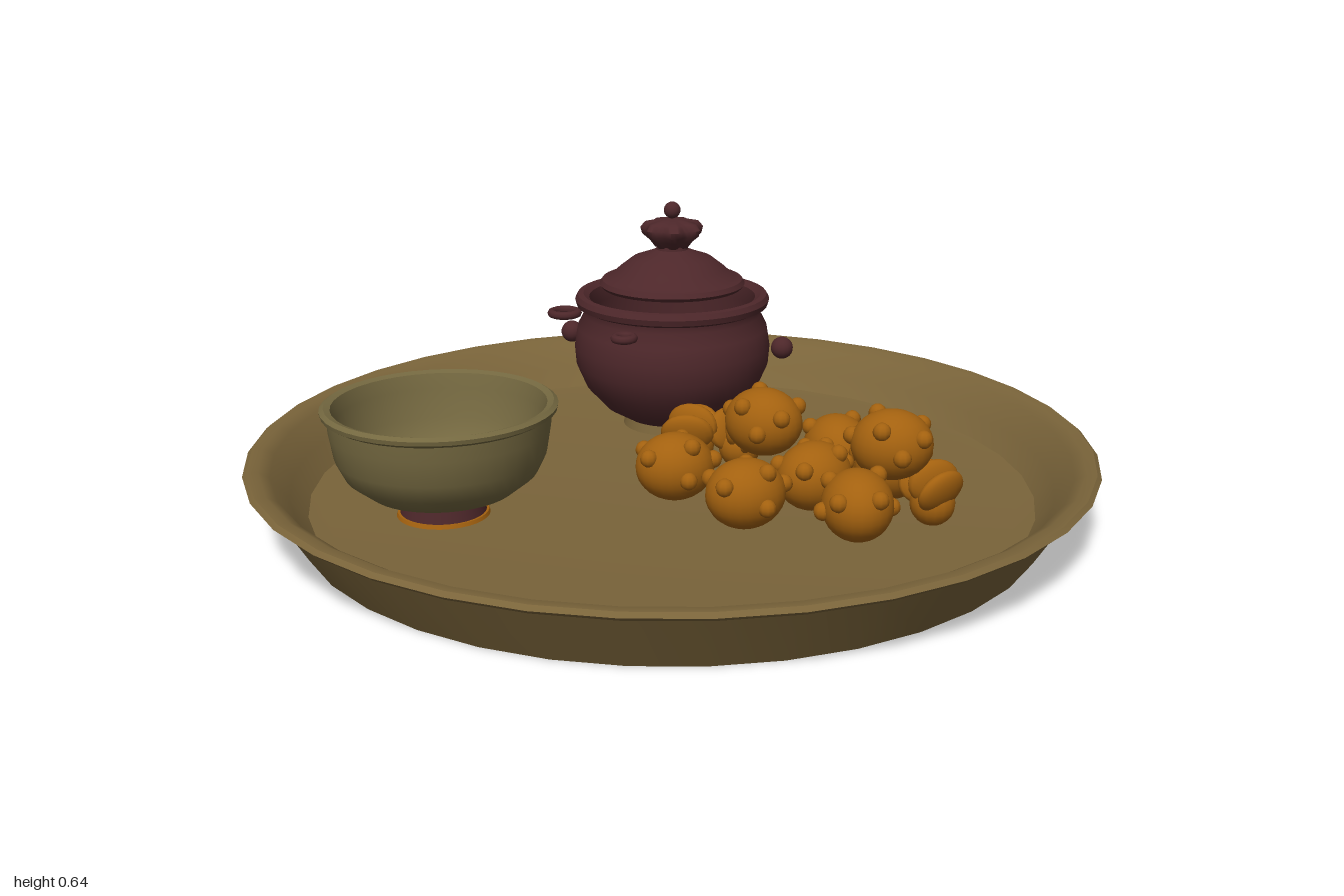
import * as THREE from 'three';
import { toCreasedNormals } from 'three/addons/utils/BufferGeometryUtils.js';

const material = (name, color) => {
  const m = new THREE.MeshStandardMaterial({ color });
  m.name = name;
  return m;
};

export function createModel() {
  const tan = material('tan clay', 0x7a643a);
  const olive = material('olive clay', 0x746840);
  const plum = material('plum glaze', 0x4d272a);
  const orange = material('orange fruit', 0xa3610f);

  const model = new THREE.Group();
  model.name = 'servingTray';

  const group = (name, x, y, z, parent = model) => {
    const g = new THREE.Group();
    g.name = name;
    g.position.set(x, y, z);
    parent.add(g);
    return g;
  };
  const add = (parent, name, geometry, mat, x = 0, y = 0, z = 0) => {
    const mesh = new THREE.Mesh(geometry, mat);
    mesh.name = name;
    mesh.position.set(x, y, z);
    parent.add(mesh);
    return mesh;
  };
  // Closed profile: out along the underside, up the outside, back down the inside
  const turned = (profile, segments = 40) => toCreasedNormals(
    new THREE.LatheGeometry(profile.map(([r, y]) => new THREE.Vector2(r, y)), segments), 0.7);

  // Tray with a flared wall and a rolled lip
  add(model, 'tray', turned([
    [0, 0], [0.88, 0], [0.965, 0.14], [0.99, 0.146], [1, 0.155], [0.99, 0.164],
    [0.965, 0.163], [0.94, 0.148], [0.9, 0.09], [0.86, 0.045], [0.82, 0.04], [0, 0.04],
  ], 36), tan);

  // Open bowl on a coloured foot
  const bowl = group('bowl', -0.54, 0, 0.13);
  add(bowl, 'bowlBody', turned([
    [0, 0.085], [0.1, 0.085], [0.17, 0.105], [0.22, 0.145], [0.242, 0.19], [0.252, 0.25],
    [0.255, 0.285], [0.268, 0.293], [0.27, 0.303], [0.26, 0.31], [0.245, 0.305],
    [0.235, 0.27], [0.222, 0.2], [0.195, 0.15], [0.15, 0.118], [0, 0.105],
  ]), olive);
  add(bowl, 'bowlFoot', new THREE.CylinderGeometry(0.09, 0.1, 0.05, 32), plum, 0, 0.07);
  add(bowl, 'bowlFootRing', new THREE.CylinderGeometry(0.105, 0.108, 0.009, 32), orange, 0, 0.044);

  // Round pot
  const pot = group('pot', 0.04, 0, -0.51);
  add(pot, 'potFoot', new THREE.CylinderGeometry(0.125, 0.137, 0.045, 32), tan, 0, 0.04);
  add(pot, 'potBody', turned([
    [0, 0.06], [0.12, 0.06], [0.18, 0.095], [0.23, 0.15], [0.256, 0.21], [0.26, 0.26],
    [0.252, 0.31], [0.234, 0.345], [0.236, 0.362], [0.253, 0.37], [0.257, 0.385],
    [0.25, 0.398], [0.235, 0.4], [0.22, 0.39], [0.215, 0.35], [0.235, 0.28],
    [0.22, 0.18], [0.15, 0.1], [0, 0.085],
  ]), plum);

  // Loop handles [x, z, radius] and round studs [x, z], relative to the pot
  [[-0.285, -0.03, 0.035], [0.235, -0.155, 0.035], [-0.14, 0.24, 0.024]].forEach(([x, z, r]) => {
    const loop = add(pot, 'loopHandle', new THREE.TorusGeometry(r, 0.011, 8, 20), plum, x, 0.34, z);
    loop.rotation.x = Math.PI / 2;
  });
  [[0.28, 0.11], [-0.265, -0.1]].forEach(([x, z]) => {
    add(pot, 'stud', new THREE.SphereGeometry(0.029, 16, 12), plum, x, 0.27, z);
  });

  // Domed lid raised just above the rim
  const lid = group('lid', 0, 0, 0, pot);
  add(lid, 'lidDome', turned([
    [0, 0.43], [0.15, 0.418], [0.185, 0.416], [0.192, 0.425], [0.185, 0.437], [0.165, 0.442],
    [0.14, 0.465], [0.105, 0.492], [0.06, 0.508], [0.042, 0.516], [0.04, 0.53], [0, 0.53],
  ]), plum);

  // Petalled knob: ripple a turned shape into lobes
  const knob = new THREE.LatheGeometry([
    [0, 0.515], [0.042, 0.522], [0.055, 0.54], [0.073, 0.556], [0.077, 0.572],
    [0.066, 0.587], [0.035, 0.594], [0, 0.598],
  ].map(([r, y]) => new THREE.Vector2(r, y)), 56);
  const kp = knob.attributes.position;
  for (let i = 0; i < kp.count; i++) {
    const s = 1 + 0.1 * Math.cos(7 * Math.atan2(kp.getX(i), kp.getZ(i)));
    kp.setXYZ(i, kp.getX(i) * s, kp.getY(i), kp.getZ(i) * s);
  }
  add(lid, 'lidKnob', toCreasedNormals(knob, 0.9), plum);
  add(lid, 'knobBead', new THREE.SphereGeometry(0.022, 16, 12), plum, 0, 0.619);

  // Heap of knobbly fruit: [x, y, z, turn]
  const fruitBody = new THREE.SphereGeometry(0.085, 24, 16);
  const bump = new THREE.SphereGeometry(0.021, 10, 8);
  const bumps = [[1, 0.2, 0.15], [-0.75, 0.45, 0.5], [-0.7, 0.35, -0.6], [0.35, 0.75, 0.6],
    [0.3, 0.6, -0.75], [0.2, -0.15, 1], [-0.2, -0.1, -1]];
  [
    [0, 0.125, 0.09, 0.1], [0.21, 0.225, 0.075, 2.6], [0.4, 0.13, 0, 1.7],
    [0.51, 0.125, 0.12, 0.5], [0.315, 0.125, 0.18, 0.6], [0.145, 0.12, 0.27, 0.3],
    [0.38, 0.125, 0.375, 1.5], [0.475, 0.228, 0.27, 3],
  ].forEach(([x, y, z, turn]) => {
    const fruit = group('fruit', x, y, z);
    fruit.rotation.y = turn;
    add(fruit, 'fruitBody', fruitBody, orange).scale.set(1.1, 0.95, 0.95);
    bumps.forEach(([bx, by, bz]) => {
      const p = new THREE.Vector3(bx, by, bz).normalize();
      add(fruit, 'fruitBump', bump, orange, p.x * 0.092, p.y * 0.08, p.z * 0.08);
    });
  });

  // Split fruit: fans of slim segments [x, y, z, turn]
  const segment = new THREE.SphereGeometry(0.065, 16, 12);
  [[0.055, 0.165, -0.06, -0.5], [0.17, 0.16, -0.055, 1], [0.57, 0.13, 0.285, 0.3]]
    .forEach(([x, y, z, turn]) => {
      const split = group('splitFruit', x, y, z);
      split.rotation.y = turn;
      [-1, 0, 1].forEach((k) => {
        const piece = add(split, 'fruitSegment', segment, orange, 0, 0.012 * (1 - k * k), k * 0.033);
        piece.scale.set(1, 0.8, 0.36);
        piece.rotation.set(k * 0.35, k * 0.25, 0);
      });
      add(split, 'splitFruitBase', segment, orange, 0, -0.04, 0).scale.set(0.8, 0.8, 0.8);
    });

  return model;
}
